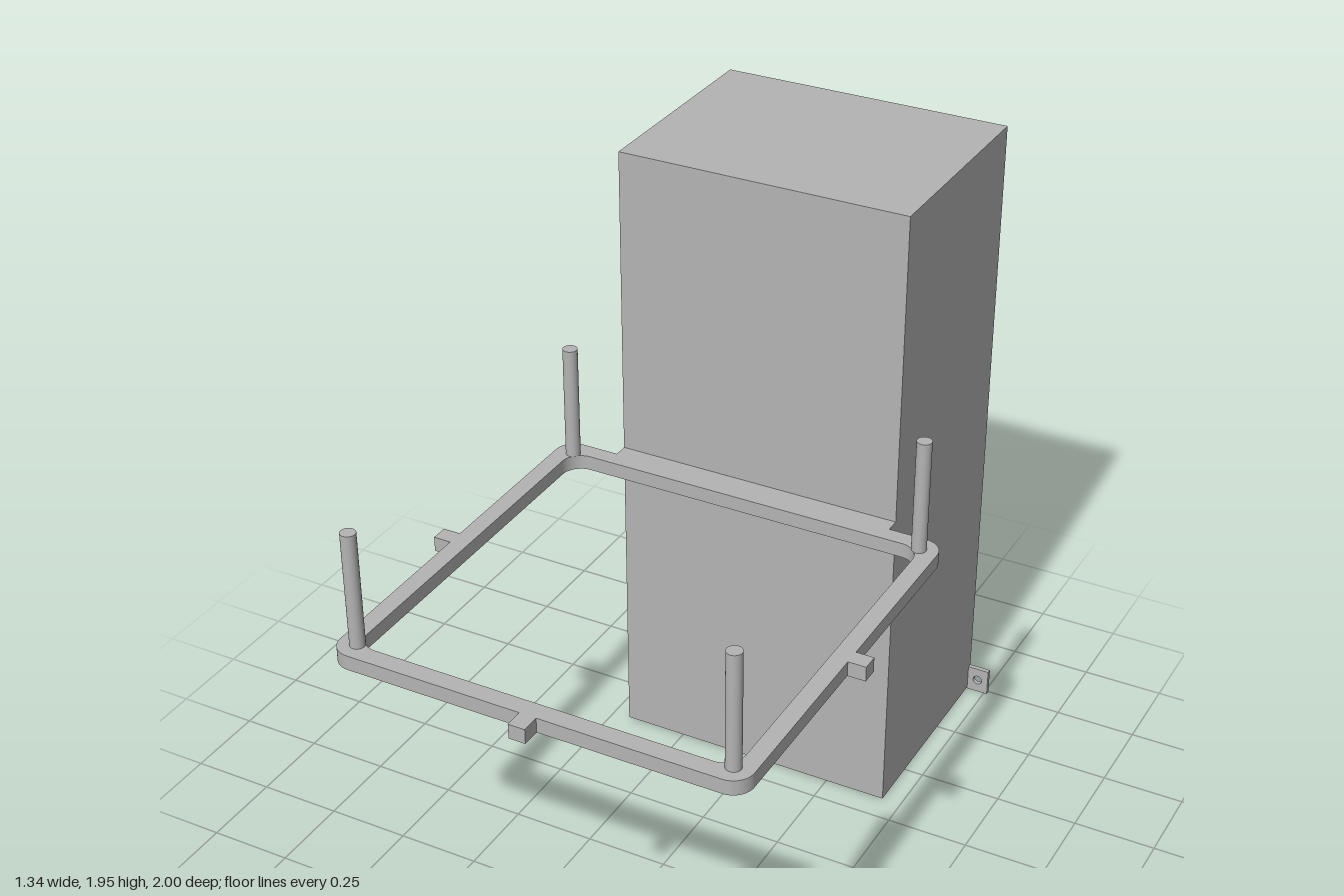
import * as THREE from 'three';

const grey = new THREE.MeshStandardMaterial({ color: 0xb4b4b4 });
grey.name = 'plain grey';

// Trace a rounded rectangle onto a Shape or Path
function roundedRect(path, x0, y0, x1, y1, r) {
  path.moveTo(x0 + r, y0);
  path.lineTo(x1 - r, y0);
  path.absarc(x1 - r, y0 + r, r, -Math.PI / 2, 0);
  path.lineTo(x1, y1 - r);
  path.absarc(x1 - r, y1 - r, r, 0, Math.PI / 2);
  path.lineTo(x0 + r, y1);
  path.absarc(x0 + r, y1 - r, r, Math.PI / 2, Math.PI);
  path.lineTo(x0, y0 + r);
  path.absarc(x0 + r, y0 + r, r, Math.PI, Math.PI * 1.5);
  return path;
}

export function createModel() {
  const model = new THREE.Group();
  model.name = 'wallCabinetWithFrame';

  const add = (name, geometry, x = 0, y = 0, z = 0) => {
    const mesh = new THREE.Mesh(geometry, grey);
    mesh.name = name;
    mesh.position.set(x, y, z);
    model.add(mesh);
    return mesh;
  };
  // Box given by its two opposite corners
  const block = (name, x0, x1, y0, y1, z0, z1) =>
    add(name, new THREE.BoxGeometry(x1 - x0, y1 - y0, z1 - z0),
      (x0 + x1) / 2, (y0 + y1) / 2, (z0 + z1) / 2);

  // Cabinet shell, open at the back
  const W = 0.442, B = 0.005, T = 1.95, F = -0.33, R = -1, t = 0.018;
  const shell = new THREE.Shape();
  shell.moveTo(-W, B);
  shell.lineTo(W, B);
  shell.lineTo(W, T);
  shell.lineTo(-W, T);
  shell.closePath();
  const opening = new THREE.Path();
  opening.moveTo(-W + t, B + t);
  opening.lineTo(-W + t, T - t);
  opening.lineTo(W - t, T - t);
  opening.lineTo(W - t, B + t);
  opening.closePath();
  shell.holes.push(opening);
  add('cabinetWalls', new THREE.ExtrudeGeometry(shell, { depth: F - R, bevelEnabled: false }), 0, 0, R);
  block('cabinetFrontPanel', -W + t, W - t, B + t, T - t, F - t, F);
  block('backCrossbar', -W + t, W - t, 1.4, 1.5, R, R + t);

  // Mounting tabs with screw holes
  for (const s of [-1, 1]) {
    const tab = new THREE.Shape();
    tab.moveTo(-0.035, 0);
    tab.lineTo(0.035, 0);
    tab.lineTo(0.035, 0.085);
    tab.lineTo(-0.035, 0.085);
    tab.closePath();
    const hole = new THREE.Path();
    hole.absarc(0, 0.043, 0.015, 0, Math.PI * 2, true);
    tab.holes.push(hole);
    add(s > 0 ? 'leftMountingTab' : 'rightMountingTab',
      new THREE.ExtrudeGeometry(tab, { depth: 0.015, bevelEnabled: false, curveSegments: 24 }), s * 0.475, 0, R);
  }

  // Horizontal ring frame; shape y maps to -z
  const y0 = 0.955, y1 = 1.0;
  const ring = roundedRect(new THREE.Shape(), -0.615, -0.945, 0.615, 0.287, 0.06);
  ring.holes.push(roundedRect(new THREE.Path(), -0.563, -0.89, 0.563, 0.235, 0.06));
  const ringMesh = add('ringFrame',
    new THREE.ExtrudeGeometry(ring, { depth: y1 - y0, bevelEnabled: false, curveSegments: 16 }), 0, y0, 0);
  ringMesh.rotation.x = -Math.PI / 2;
  block('frameBridge', -W, W, y0, y1, F, -0.287);

  // Nubs on the outer sides of the ring
  block('frontNub', -0.025, 0.025, y0, y1, 0.945, 1);
  block('leftNub', 0.615, 0.668, y0, y1, 0.302, 0.352);
  block('rightNub', -0.668, -0.615, y0, y1, 0.302, 0.352);

  // Upright pegs at the corners
  for (const x of [-0.558, 0.558]) {
    for (const z of [-0.23, 0.888]) {
      add('cornerPeg', new THREE.CylinderGeometry(0.022, 0.022, 0.35, 32), x, y1 + 0.175, z);
    }
  }
  return model;
}
